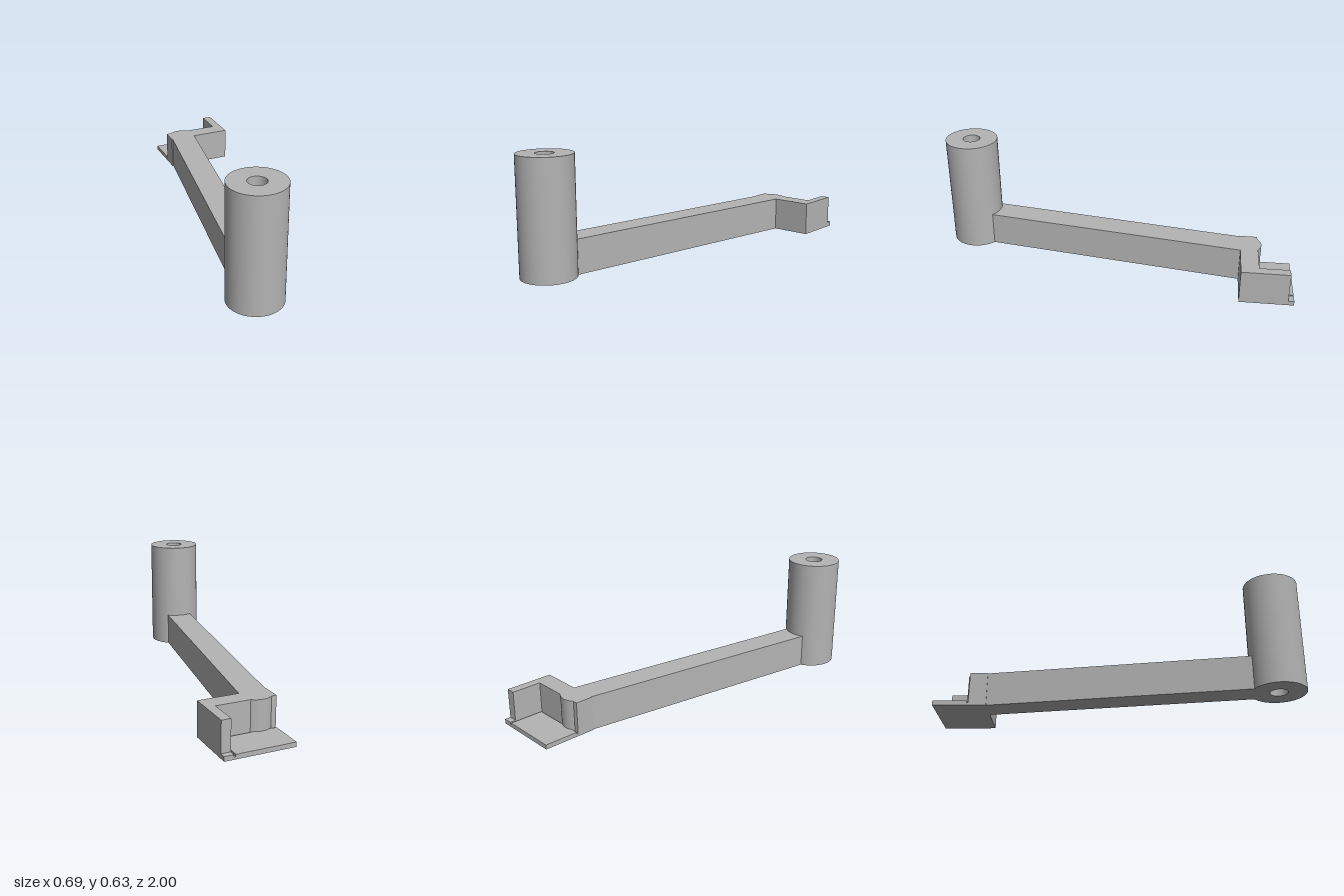
import * as THREE from 'three';
import { toCreasedNormals } from 'three/addons/utils/BufferGeometryUtils.js';

const HEIGHT = 0.188, FLOOR = 0.025;
const post = new THREE.Vector2(-0.1985, -0.853);  // plan coordinates: (x, -z)
const boss = new THREE.Vector2(0.0515, 0.735);
const along = boss.clone().sub(post).normalize();
const angle = Math.atan2(along.y, along.x);

// Point at distance u along the arm from the post, offset v to its right
const armPoint = (u, v) => new THREE.Vector2(
  post.x + along.x * u + along.y * v, post.y + along.y * u - along.x * v);

// Raise a plan shape from y0 to y1
function raise(shape, y0, y1) {
  const g = new THREE.ExtrudeGeometry(shape, { depth: y1 - y0, bevelEnabled: false, curveSegments: 40 });
  g.rotateX(-Math.PI / 2).translate(0, y0, 0);
  return toCreasedNormals(g, 0.5);
}

// Arm, rounded boss and L-shaped wall in one outline
function armOutline() {
  const w = 0.0735, r = 0.09, wall = 0.805;
  const a = Math.asin((wall - boss.y) / r);
  const edge = (y, side) => boss.x + (y - boss.y) * along.x / along.y + side * w / along.y;
  const s = new THREE.Shape();
  const start = armPoint(0.1, w), end = armPoint(0.1, -w);
  s.moveTo(start.x, start.y);
  s.lineTo(edge(0.708, 1), 0.708);
  s.lineTo(0.343, 0.708);
  s.lineTo(0.343, 0.968);
  s.lineTo(0.293, 0.968);
  s.lineTo(0.293, wall);
  s.absarc(boss.x, boss.y, r, a, Math.PI - a, false);
  s.lineTo(-0.032, wall);
  s.lineTo(-0.032, 0.708);
  s.lineTo(edge(0.708, -1), 0.708);
  s.lineTo(end.x, end.y);
  s.closePath();
  return s;
}

// Long slot with round ends
function slotPath() {
  const r = 0.03, near = armPoint(0.185, 0);
  const p = new THREE.Path();
  p.absarc(boss.x, boss.y, r, angle - Math.PI / 2, angle + Math.PI / 2, false);
  p.absarc(near.x, near.y, r, angle + Math.PI / 2, angle + Math.PI * 1.5, false);
  p.closePath();
  return p;
}

export function createModel() {
  const model = new THREE.Group();
  const grey = new THREE.MeshStandardMaterial({ color: 0xb4b4b4 });
  grey.name = 'plain grey';
  const add = (name, geometry) => {
    const m = new THREE.Mesh(geometry, grey);
    m.name = name;
    model.add(m);
  };
  const slab = (x0, x1, y0, y1, z0, z1) => new THREE.BoxGeometry(x1 - x0, y1 - y0, z1 - z0)
    .translate((x0 + x1) / 2, (y0 + y1) / 2, (z0 + z1) / 2);

  // Upright post with a through bore
  const ring = new THREE.Shape().absarc(post.x, post.y, 0.147, 0, Math.PI * 2, false);
  ring.holes.push(new THREE.Path().absarc(post.x, post.y, 0.048, 0, Math.PI * 2, true));
  add('post', raise(ring, 0, 0.632));

  // Slotted arm and walls above a solid underside
  const slotted = armOutline();
  slotted.holes.push(slotPath());
  add('slottedArmAndWalls', raise(slotted, FLOOR, HEIGHT));
  add('armUnderside', raise(armOutline(), 0, FLOOR));

  // Tray floor, with a narrow groove left beside the walls
  add('trayBase', slab(-0.032, 0.343, 0, 0.014, -1, -0.708));
  add('trayFloor', slab(-0.032, 0.284, 0.014, FLOOR, -1, -0.814));
  add('trayLedge', slab(0.293, 0.343, 0.014, FLOOR, -1, -0.96));
  return model;
}
